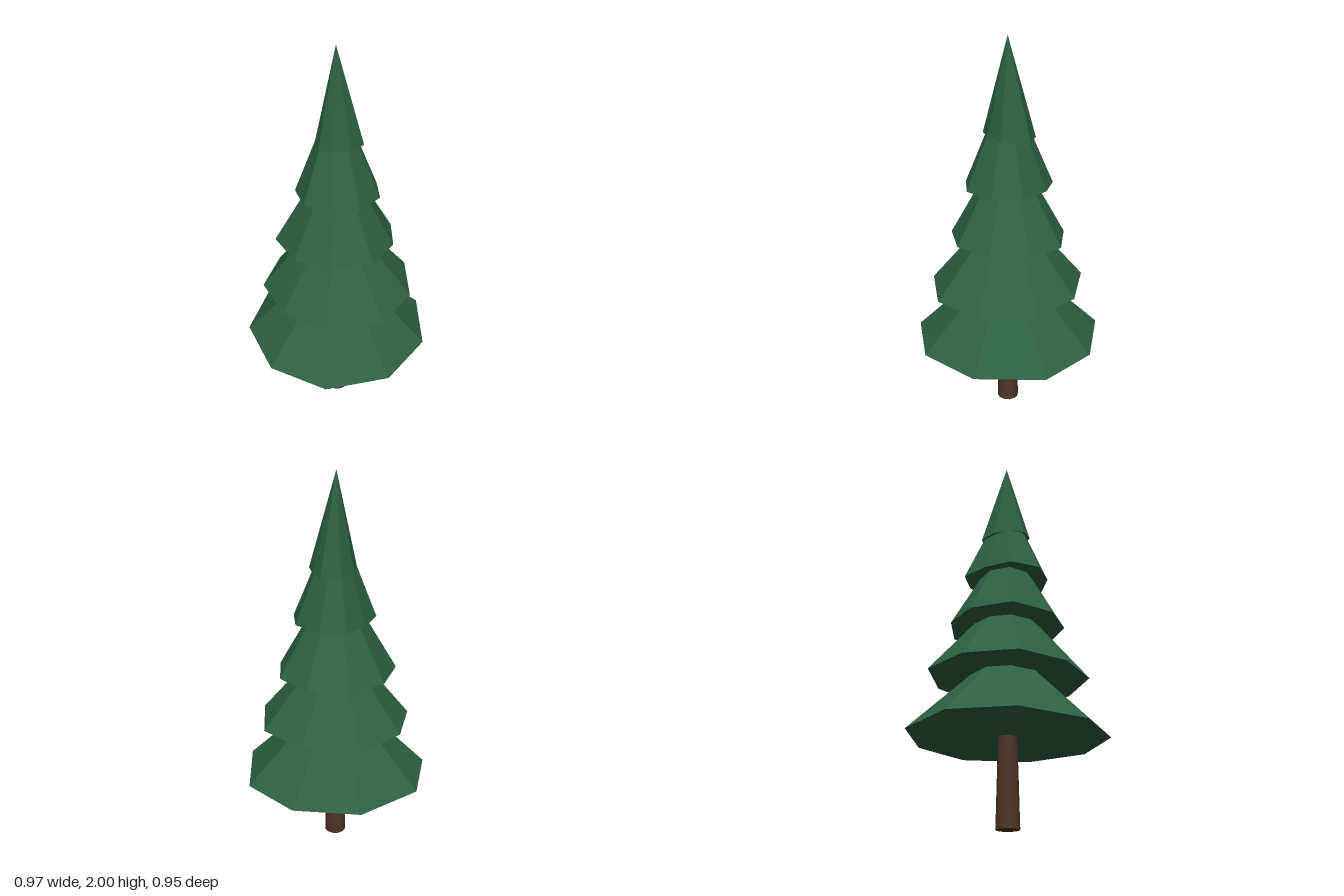
import * as THREE from 'three';

const foliage = new THREE.MeshStandardMaterial({ color: 0x2d6040 });
foliage.name = 'pineGreen';
foliage.flatShading = true;
const bark = new THREE.MeshStandardMaterial({ color: 0x4d3424 });
bark.name = 'barkBrown';

// Each tier: rim height, tip height, slight rim tilt along x and z, and
// nine uneven rim corners as x, z pairs, starting at the back and going towards +x.
const tiers = [
  { y: 0.43, tip: 0.91, tilt: [0.01, -0.012],
    rim: [0, -0.48, 0.315, -0.355, 0.48, -0.085, 0.4, 0.26, 0.145, 0.475, -0.18, 0.475, -0.42, 0.26, -0.485, -0.085, -0.335, -0.365] },
  { y: 0.73, tip: 1.21, tilt: [0.012, -0.014],
    rim: [-0.02, -0.39, 0.245, -0.28, 0.385, -0.06, 0.325, 0.22, 0.13, 0.395, -0.155, 0.39, -0.335, 0.2, -0.395, -0.05, -0.265, -0.28] },
  { y: 1.005, tip: 1.53, tilt: [0.01, 0.006],
    rim: [0, -0.28, 0.2, -0.215, 0.29, -0.04, 0.245, 0.15, 0.1, 0.285, -0.1, 0.29, -0.26, 0.165, -0.318, -0.052, -0.19, -0.23] },
  { y: 1.278, tip: 1.8, tilt: [-0.02, 0],
    rim: [0, -0.215, 0.115, -0.155, 0.2, -0.02, 0.175, 0.125, 0.05, 0.225, -0.09, 0.21, -0.2, 0.125, -0.212, -0.03, -0.12, -0.14] },
  { y: 1.527, tip: 2, tilt: [0, 0.08],
    rim: [0, -0.125, 0.09, -0.08, 0.107, -0.015, 0.107, 0.065, 0.03, 0.115, -0.06, 0.125, -0.115, 0.075, -0.12, 0.005, -0.08, -0.08] },
];

// Closed faceted cone through an uneven rim
function tierGeometry({ y, tip, tilt, rim }) {
  const n = rim.length / 2;
  const corner = (i) => {
    const x = rim[(i % n) * 2], z = rim[(i % n) * 2 + 1];
    return [x, y + x * tilt[0] + z * tilt[1], z];
  };
  const apex = [-0.015, tip, 0.01], base = [-0.005, y, 0.005];
  const points = [];
  for (let i = 0; i < n; i++) {
    const a = corner(i), b = corner(i + 1);
    points.push(...apex, ...b, ...a, ...base, ...a, ...b);
  }
  const geometry = new THREE.BufferGeometry();
  geometry.setAttribute('position', new THREE.Float32BufferAttribute(points, 3));
  geometry.computeVertexNormals();
  return geometry;
}

export function createModel() {
  const tree = new THREE.Group();
  tree.name = 'pineTree';

  // Slightly tapered trunk
  const trunk = new THREE.Mesh(new THREE.CylinderGeometry(0.046, 0.058, 0.5, 12), bark);
  trunk.name = 'trunk';
  trunk.position.set(-0.011, 0.25, 0.013);
  tree.add(trunk);

  // Overlapping foliage tiers
  tiers.forEach((tier, i) => {
    const mesh = new THREE.Mesh(tierGeometry(tier), foliage);
    mesh.name = `foliageTier${i + 1}`;
    tree.add(mesh);
  });
  return tree;
}
